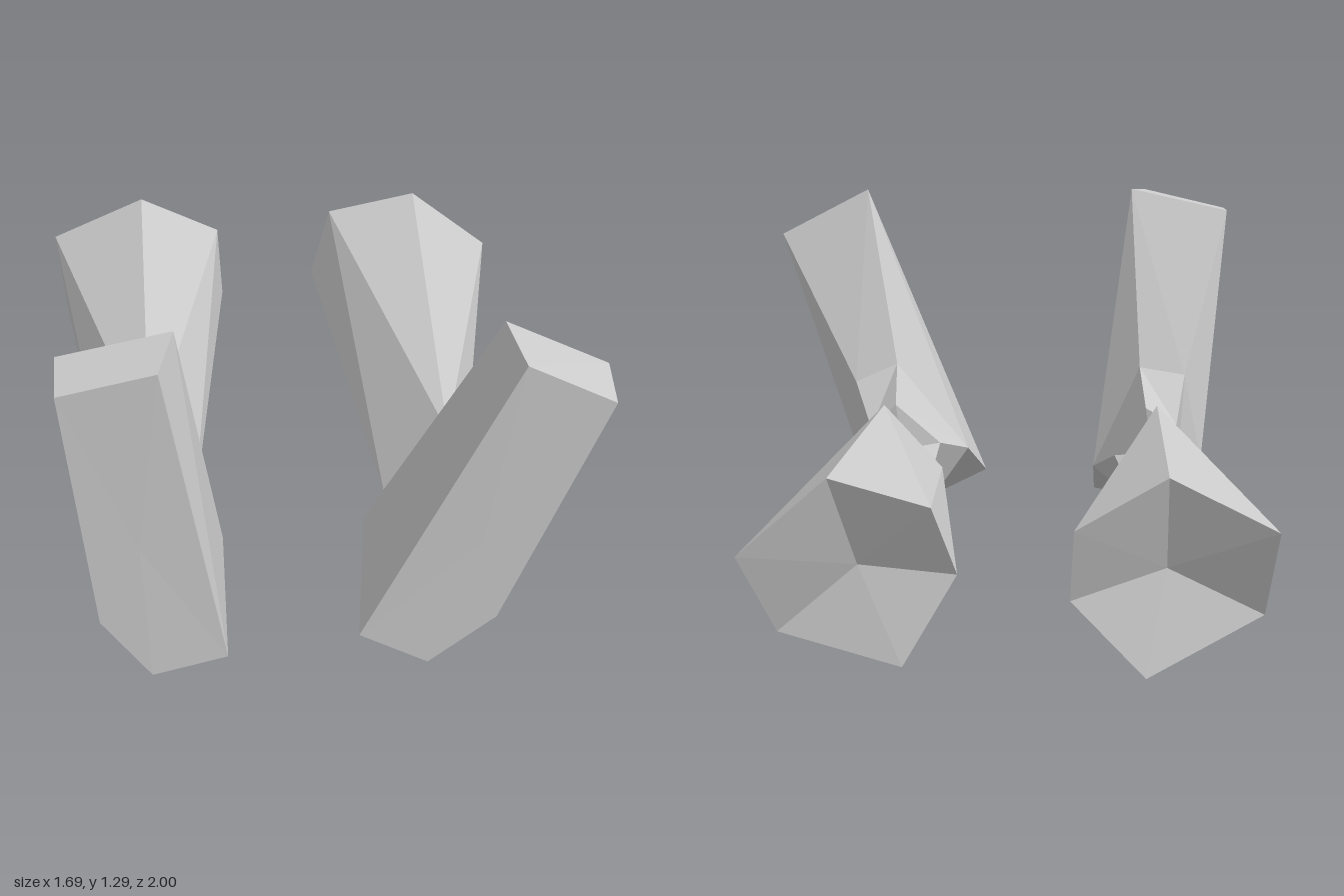
import * as THREE from 'three';

// Facets between cross-sections ordered back to front, each counter-clockwise seen from +z
function loft(rings, tris) {
  for (let r = 0; r + 1 < rings.length; r++) {
    const a = rings[r], b = rings[r + 1], n = a.length;
    for (let i = 0; i < n; i++) {
      const j = (i + 1) % n;
      tris.push([a[i], a[j], b[j]], [a[i], b[j], b[i]]);
    }
  }
}

// Fan of facets from a centre point; back fans face -z
function fan(ring, centre, back, tris) {
  ring.forEach((p, i) => {
    const q = ring[(i + 1) % ring.length];
    tris.push(back ? [centre, q, p] : [centre, p, q]);
  });
}

function middle(ring) {
  return [0, 1, 2].map(k => ring.reduce((s, p) => s + p[k], 0) / ring.length);
}

// The other leg is mirrored, and turned 15 degrees about z
function mirrored([x, y, z]) {
  const c = Math.cos(Math.PI / 12), s = Math.sin(Math.PI / 12);
  return [-(c * x - s * y + 0.23), s * x + c * y - 0.089, z];
}

function makeMesh(name, tris, mirror, material) {
  const pos = [];
  for (const t of tris) {
    if (t[0] === t[1] || t[1] === t[2] || t[0] === t[2]) continue; // collapsed facet
    const pts = mirror ? [t[0], t[2], t[1]].map(mirrored) : t;
    pts.forEach(p => pos.push(...p));
  }
  const g = new THREE.BufferGeometry();
  g.setAttribute('position', new THREE.Float32BufferAttribute(pos, 3));
  g.computeVertexNormals();
  const mesh = new THREE.Mesh(g, material);
  mesh.name = name;
  return mesh;
}

// Shin: six-sided at the knee, tapering to four corners at the ankle
function shinFacets() {
  const rim = [
    [0.735, 0.355, -0.99], [0.465, 0.59, -0.98], [0.16, 0.51, -1],
    [0.09, 0.295, -0.925], [0.25, 0.025, -0.97], [0.63, 0.105, -0.885],
  ];
  const outer = [0.49, 0.295, 0.465], top = [0.44, 0.565, 0.405];
  const inner = [0.24, 0.34, 0.43], under = [0.34, 0.26, 0.45];
  const ankle = [outer, top, top, inner, under, outer];
  const tris = [];
  loft([rim, ankle], tris);
  // knee end is slightly hollow
  const hollow = middle(rim);
  hollow[2] += 0.07;
  fan(rim, hollow, true, tris);
  fan([outer, top, inner, under], middle([outer, top, inner, under]), false, tris);
  return tris;
}

// Foot: ankle, instep and heel, toes, then the flat sole facing forward
function footFacets() {
  const heelOut = [0.535, 0.305, 0.6], heelIn = [0.16, 0.38, 0.59], heelLow = [0.32, 0.155, 0.57];
  const ankle = [[0.46, 0.335, 0.54], [0.487, 0.48, 0.415], [0.4, 0.565, 0.41], [0.25, 0.42, 0.47], [0.3, 0.227, 0.27]];
  const instep = [heelOut, [0.556, 0.62, 0.565], [0.41, 0.685, 0.57], heelIn, heelLow];
  const toes = [heelOut, [0.845, 1.12, 0.815], [0.535, 1.282, 0.815], heelIn, heelLow];
  const sole = [[0.535, 0.3, 0.985], [0.84, 1.115, 1], [0.576, 1.256, 1], [0.118, 0.227, 0.965], [0.33, 0.118, 0.98]];
  const tris = [];
  loft([ankle, instep, toes, sole], tris);
  fan(ankle, middle(ankle), true, tris);
  fan(sole, middle(sole), false, tris);
  return tris;
}

export function createModel() {
  const grey = new THREE.MeshStandardMaterial({ color: 0xcccccc, flatShading: true, side: THREE.DoubleSide });
  grey.name = 'light grey';
  const model = new THREE.Group();
  model.name = 'lowerLegs';
  for (const [side, mirror] of [['left', false], ['right', true]]) {
    const leg = new THREE.Group();
    leg.name = side + 'Leg';
    leg.add(makeMesh(side + 'Shin', shinFacets(), mirror, grey));
    leg.add(makeMesh(side + 'Foot', footFacets(), mirror, grey));
    model.add(leg);
  }
  return model;
}
